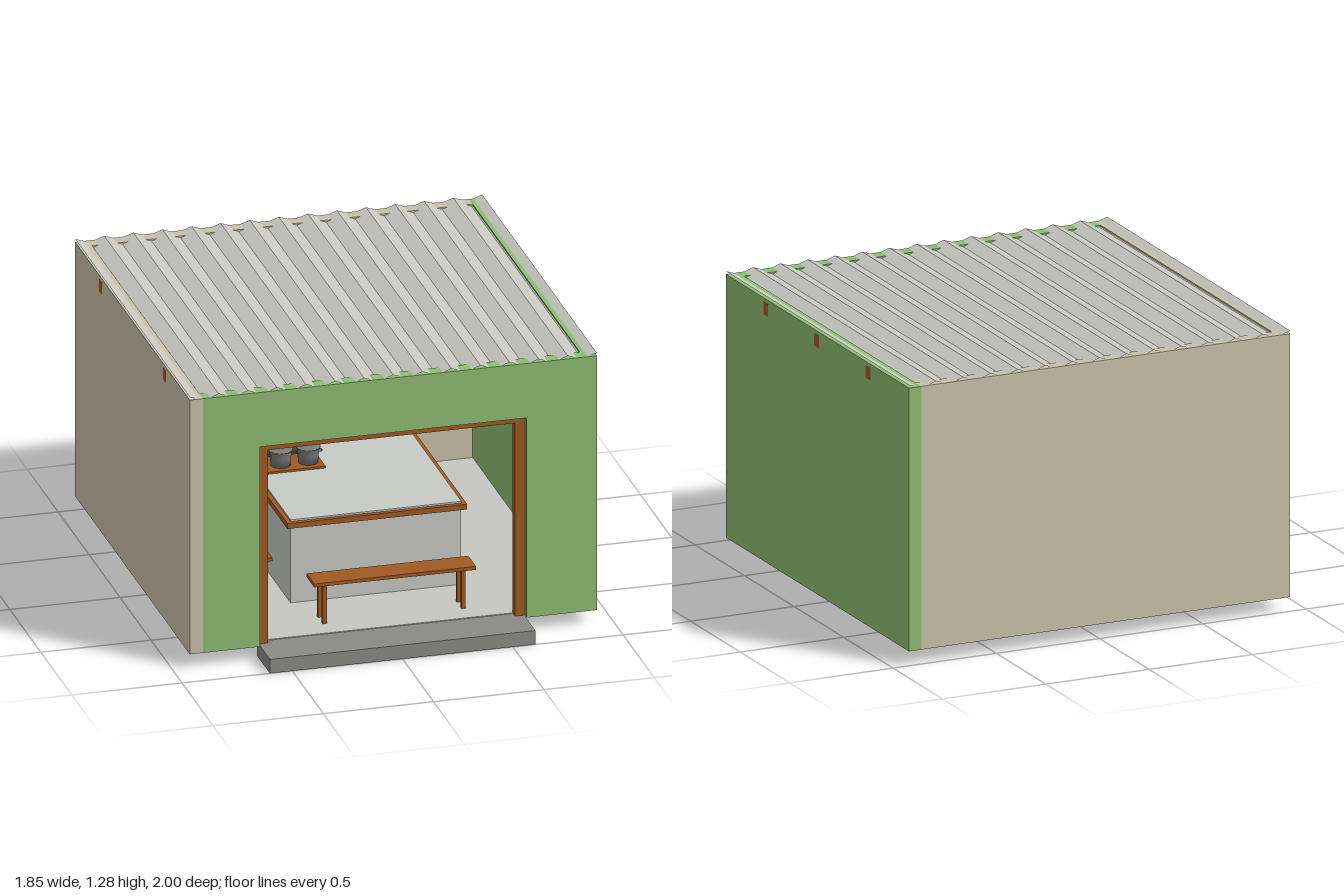
import * as THREE from 'three';

const mat = (name, color, side = THREE.FrontSide) => {
  const m = new THREE.MeshStandardMaterial({ color, side });
  m.name = name;
  return m;
};

export function createModel() {
  const green = mat('green paint', 0x8ebd73);
  const beige = mat('beige plaster', 0xc9c1a9);
  const wood = mat('brown wood', 0xa05a22);
  const concrete = mat('grey concrete', 0x8a8a86);
  const floorGrey = mat('light floor', 0xc6c7c1);
  const counterGrey = mat('pale counter', 0xc8cac5);
  const tin = mat('roof tin', 0xc8c8c1, THREE.DoubleSide);
  const steel = mat('dark steel', 0x777b7a);

  const model = new THREE.Group();
  model.name = 'diningHut';

  const add = (parent, name, geometry, material) => {
    const mesh = new THREE.Mesh(geometry, material);
    mesh.name = name;
    parent.add(mesh);
    return mesh;
  };
  // Box given by its minimum and maximum along each axis
  const box = (parent, name, material, x0, x1, y0, y1, z0, z1) => {
    const mesh = add(parent, name, new THREE.BoxGeometry(x1 - x0, y1 - y0, z1 - z0), material);
    mesh.position.set((x0 + x1) / 2, (y0 + y1) / 2, (z0 + z1) / 2);
    return mesh;
  };

  const W = 0.923, T = 0.06, BASE = 0.066, TOP = 1.27, BACK = -1, FRONT = 0.85;
  const inner = W - T;

  // Walls
  box(model, 'rightWall', green, inner, W, BASE, TOP, BACK, FRONT);
  box(model, 'leftWall', beige, -W, -inner, BASE, TOP, BACK, FRONT);
  box(model, 'backWall', beige, -inner, inner, BASE, TOP, BACK, BACK + T);

  // Front wall with the doorway cut out
  const outline = new THREE.Shape();
  [[-inner, BASE], [-0.605, BASE], [-0.605, 1.012], [0.605, 1.012], [0.605, BASE],
    [inner, BASE], [inner, TOP], [-inner, TOP]]
    .forEach(([x, y], i) => (i ? outline.lineTo(x, y) : outline.moveTo(x, y)));
  const frontGeo = new THREE.ExtrudeGeometry(outline, { depth: T, bevelEnabled: false });
  add(model, 'frontWall', frontGeo, green).position.z = FRONT - T;
  // Sliver that completes the front face over the right wall end is the wall itself

  // Door frame, set back in the opening
  const frame = new THREE.Group();
  frame.name = 'doorFrame';
  model.add(frame);
  box(frame, 'leftJamb', wood, 0.56, 0.605, BASE, 0.98, 0.78, 0.82);
  box(frame, 'rightJamb', wood, -0.605, -0.56, BASE, 0.98, 0.78, 0.82);
  box(frame, 'lintel', wood, -0.605, 0.605, 0.98, 1.012, 0.78, 0.82);

  // Floor and entrance step
  box(model, 'floor', floorGrey, -inner, inner, BASE, 0.07, BACK + T, FRONT - T);
  box(model, 'step', concrete, -0.602, 0.602, 0, 0.066, 0.79, 1);

  // Rafters, their ends showing in the side walls
  [[0.445, -0.924], [-0.07, -0.9], [-0.59, -0.924]].forEach(([z, left]) =>
    box(model, 'rafter', wood, left, 0.924, 1.195, 1.252, z - 0.024, z + 0.024));

  // Corrugated sheet: zigzag from ridge to valley, fourteen waves
  const waves = 14, pos = [];
  const point = i => [-W + (2 * W * i) / (2 * waves), i % 2 ? 1.261 : 1.284];
  for (let i = 0; i < waves * 2; i++) {
    const [xa, ya] = point(i), [xb, yb] = point(i + 1);
    pos.push(xa, ya, FRONT, xb, yb, FRONT, xb, yb, BACK);
    pos.push(xa, ya, FRONT, xb, yb, BACK, xa, ya, BACK);
  }
  const sheet = new THREE.BufferGeometry();
  sheet.setAttribute('position', new THREE.Float32BufferAttribute(pos, 3));
  sheet.computeVertexNormals();
  add(model, 'corrugatedRoof', sheet, tin);

  // Counter with wooden rim and pale top
  const counter = new THREE.Group();
  counter.name = 'counter';
  model.add(counter);
  box(counter, 'counterBody', counterGrey, -0.345, 0.428, 0.07, 0.43, -0.4, 0.42);
  box(counter, 'counterRim', wood, -0.365, 0.45, 0.43, 0.455, -0.42, 0.44);
  box(counter, 'counterTop', counterGrey, -0.345, 0.43, 0.455, 0.463, -0.4, 0.42);

  // Benches: seat with four legs, long along x
  const bench = (name, x, z, turn) => {
    const g = new THREE.Group();
    g.name = name;
    box(g, 'seat', wood, -0.367, 0.367, 0.254, 0.27, -0.062, 0.062);
    for (const sx of [-1, 1]) for (const sz of [-1, 1]) {
      const cx = sx * 0.315, cz = sz * 0.038;
      box(g, 'leg', wood, cx - 0.009, cx + 0.009, 0.068, 0.254, cz - 0.009, cz + 0.009);
    }
    g.position.set(x, 0, z);
    g.rotation.y = turn;
    model.add(g);
  };
  bench('frontBench', 0.05, 0.64, 0);
  bench('sideBench', -0.475, 0.0, Math.PI / 2);

  // Cooking pots on a wooden board
  box(model, 'potBoard', wood, -0.3, -0.04, 0.463, 0.472, -0.37, -0.1);
  const profile = [[0, 0], [0.044, 0], [0.047, 0.04], [0.05, 0.07], [0.054, 0.07],
    [0.054, 0.076], [0.02, 0.08], [0.006, 0.081], [0.006, 0.088], [0, 0.088]]
    .map(p => new THREE.Vector2(...p));
  const potGeo = new THREE.LatheGeometry(profile, 16);
  const handleGeo = new THREE.TorusGeometry(0.013, 0.003, 5, 10);
  [[-0.225, -0.17], [-0.1, -0.17], [-0.225, -0.3], [-0.09, -0.3]].forEach(([x, z]) => {
    const pot = new THREE.Group();
    pot.name = 'pot';
    add(pot, 'potBody', potGeo, steel);
    for (const s of [-1, 1]) {
      const handle = add(pot, 'potHandle', handleGeo, steel);
      handle.position.set(s * 0.05, 0.05, 0);
      handle.rotation.x = Math.PI / 2;
    }
    pot.position.set(x, 0.472, z);
    model.add(pot);
  });

  return model;
}
